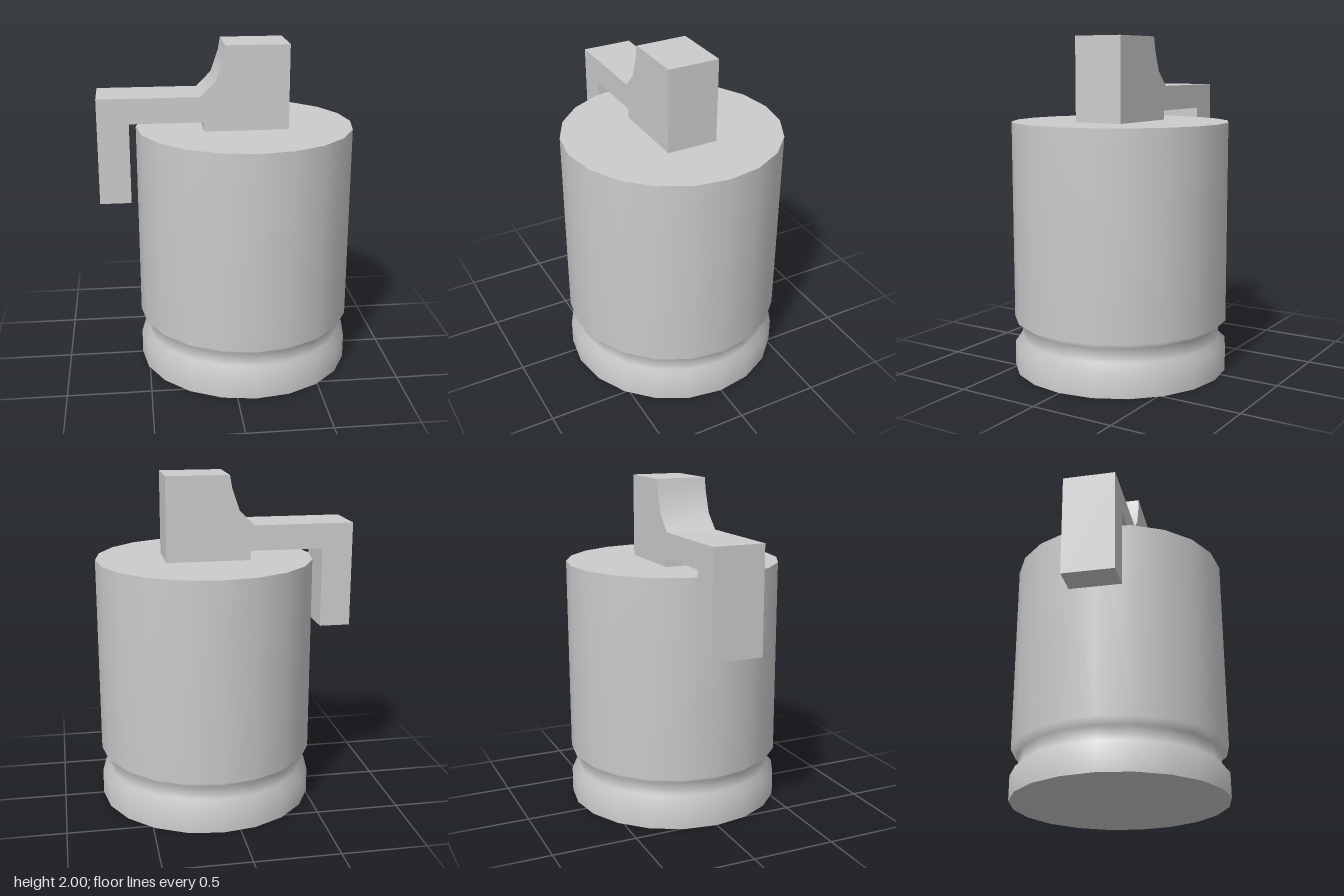
import * as THREE from 'three';
import { toCreasedNormals } from 'three/addons/utils/BufferGeometryUtils.js';

const SIDES = 20, RADIUS = 0.65, CENTER_X = 0.11;

export function createModel() {
  const model = new THREE.Group();
  const grey = new THREE.MeshStandardMaterial({ color: 0xcccccc });
  grey.name = 'plain grey';

  const add = (name, geometry, parent) => {
    const mesh = new THREE.Mesh(geometry, grey);
    mesh.name = name;
    parent.add(mesh);
    return mesh;
  };

  // Cylindrical body with a groove near the base, smooth around and flat-capped
  const body = new THREE.Group();
  body.name = 'body';
  body.position.x = CENTER_X;
  model.add(body);

  const profile = [
    [RADIUS, 0], [RADIUS, 0.15], [0.605, 0.19], [0.605, 0.275], [RADIUS, 0.31], [RADIUS, 1.5],
  ].map(([r, y]) => new THREE.Vector2(r, y));
  add('bodyWall', new THREE.LatheGeometry(profile, SIDES), body);

  const cap = (name, y, tilt) => {
    const disc = add(name, new THREE.CircleGeometry(RADIUS, SIDES), body);
    disc.rotation.x = tilt;
    disc.position.y = y;
  };
  cap('bodyTop', 1.5, -Math.PI / 2);
  cap('bodyBottom', 0, Math.PI / 2);

  // Lever: block on the top, curved shoulder, arm and grip hanging over the side
  const depth = 0.31;
  const outline = new THREE.Shape([
    [0.355, 1.5], [0.355, 2], [-0.02, 2], [-0.033, 1.925], [-0.077, 1.795], [-0.165, 1.705],
    [-0.765, 1.705], [-0.765, 1.075], [-0.58, 1.075], [-0.58, 1.555], [-0.145, 1.555], [-0.145, 1.5],
  ].map(([x, y]) => new THREE.Vector2(x, y)));
  const lever = new THREE.ExtrudeGeometry(outline, { depth, bevelEnabled: false });
  lever.translate(0, 0, -depth / 2);
  add('lever', toCreasedNormals(lever, Math.PI / 6), model);

  return model;
}
